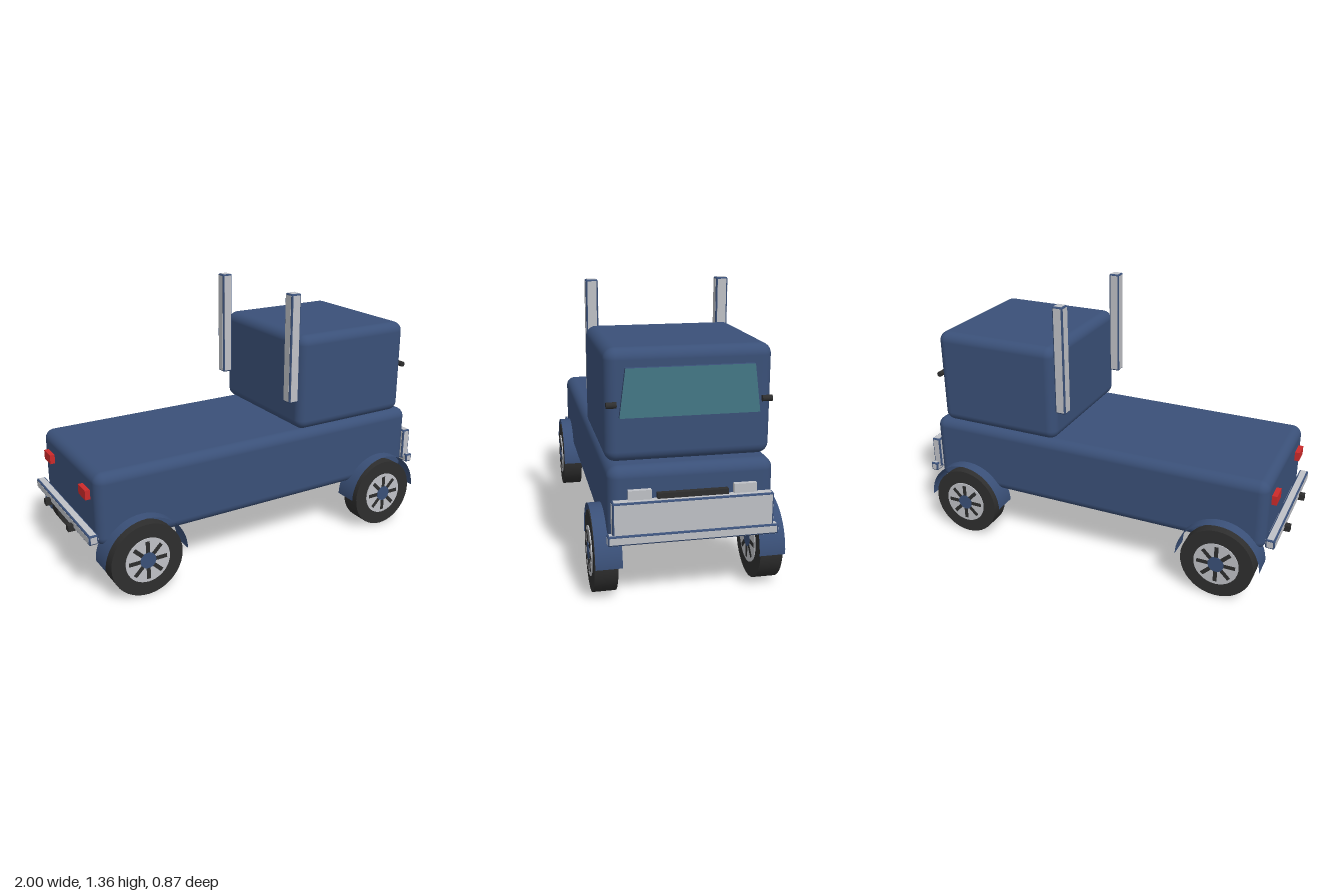
import * as THREE from 'three';
import { RoundedBoxGeometry } from 'three/addons/geometries/RoundedBoxGeometry.js';

const mat = (name, color, side = THREE.FrontSide) => {
  const m = new THREE.MeshStandardMaterial({ color, side });
  m.name = name;
  return m;
};

export function createModel() {
  const blue = mat('body blue', 0x3a5078, THREE.DoubleSide);
  const metal = mat('light metal', 0xbfc1c6);
  const dark = mat('dark rubber', 0x2e2e2e);
  const glass = mat('teal glass', 0x437786);
  const red = mat('red lamp', 0xcc2a2a);

  const truck = new THREE.Group();
  truck.name = 'truck';

  const add = (parent, name, geometry, material, x = 0, y = 0, z = 0) => {
    const mesh = new THREE.Mesh(geometry, material);
    mesh.name = name;
    mesh.position.set(x, y, z);
    parent.add(mesh);
    return mesh;
  };

  // Boxes are given as [min, max] on each axis
  const box = (name, X, Y, Z, material, radius = 0) => {
    const s = [X, Y, Z].map(([a, b]) => b - a);
    const c = [X, Y, Z].map(([a, b]) => (a + b) / 2);
    const g = radius ? new RoundedBoxGeometry(...s, 5, radius) : new THREE.BoxGeometry(...s);
    return add(truck, name, g, material, ...c);
  };

  // Blue-edged box with a metal panel on every face
  const trimmedBox = (name, X, Y, Z, edge = 0.008) => {
    const group = new THREE.Group();
    group.name = name;
    const s = [X, Y, Z].map(([a, b]) => b - a);
    group.position.set(...[X, Y, Z].map(([a, b]) => (a + b) / 2));
    add(group, name + 'Edges', new RoundedBoxGeometry(...s, 2, edge), blue);
    for (let axis = 0; axis < 3; axis++) {
      const d = s.map((v, i) => (i === axis ? v + 0.002 : v - edge * 2));
      add(group, name + 'Panel', new THREE.BoxGeometry(...d), metal);
    }
    truck.add(group);
  };

  // Main volumes
  box('lowerBody', [-0.92, 0.94], [0.27, 0.64], [-0.37, 0.37], blue, 0.05);
  box('cab', [0.2, 0.88], [0.64, 1.14], [-0.37, 0.37], blue, 0.05);

  // Windshield: glass face with a blue rim
  const pane = new THREE.Shape([
    new THREE.Vector2(-0.31, 0.845), new THREE.Vector2(0.31, 0.845),
    new THREE.Vector2(0.283, 1.06), new THREE.Vector2(-0.283, 1.06),
  ]);
  const paneGeometry = new THREE.ExtrudeGeometry(pane, { depth: 0.025, bevelEnabled: false });
  paneGeometry.rotateY(Math.PI / 2);
  add(truck, 'windshield', paneGeometry, [glass, blue], 0.875);

  // Nose and bumpers
  trimmedBox('frontPanel', [0.94, 0.988], [0.33, 0.5], [-0.358, 0.358]);
  trimmedBox('frontBumper', [0.955, 0.997], [0.31, 0.356], [-0.38, 0.38]);
  trimmedBox('rearBumper', [-0.972, -0.925], [0.31, 0.358], [-0.38, 0.38]);
  box('grille', [0.93, 0.965], [0.48, 0.525], [-0.158, 0.158], dark);

  // Mirrored details
  for (const s of [1, -1]) {
    const zs = (a, b) => (s > 0 ? [a, b] : [-b, -a]);
    trimmedBox('exhaustStack', [0.14, 0.197], [0.8, 1.36], zs(0.3, 0.36));
    box('headlight', [0.93, 0.962], [0.45, 0.543], zs(0.183, 0.285), metal);
    box('tailLight', [-0.945, -0.91], [0.5, 0.548], zs(0.2, 0.29), red);
    box('tailpipe', [-1, -0.91], [0.3, 0.332], zs(0.148, 0.18), dark);
    const peg = add(truck, 'mirrorPeg', new THREE.CylinderGeometry(0.014, 0.014, 0.045, 14),
      dark, 0.888, 0.902, s * 0.343);
    peg.rotation.x = Math.PI / 2;
  }

  // Wheel parts share an axis along z
  const disc = (r, width, sides = 40) =>
    new THREE.CylinderGeometry(r, r, width, sides).rotateX(Math.PI / 2);
  const tyre = disc(0.186, 0.105);
  const rim = disc(0.115, 0.113);
  const hub = disc(0.041, 0.12, 24);
  const slot = new THREE.BoxGeometry(0.062, 0.02, 0.117);
  // Thin open half-cylinder arch over the tyre
  const arch = new THREE.CylinderGeometry(0.215, 0.215, 0.12, 28, 1, true, Math.PI / 2, Math.PI)
    .rotateX(Math.PI / 2);

  for (const x of [-0.705, 0.745]) {
    for (const s of [1, -1]) {
      const wheel = new THREE.Group();
      wheel.name = 'wheel';
      wheel.position.set(x, 0.188, s * 0.377);
      add(wheel, 'tyre', tyre, dark);
      add(wheel, 'rim', rim, metal);
      add(wheel, 'hub', hub, blue);
      for (let i = 0; i < 8; i++) {
        const a = (i * Math.PI) / 4;
        const bar = add(wheel, 'spokeSlot', slot, dark, 0.068 * Math.cos(a), 0.068 * Math.sin(a), 0);
        bar.rotation.z = a;
      }
      truck.add(wheel);
      add(truck, 'fender', arch, blue, x, 0.19, s * 0.37);
    }
  }
  return truck;
}
